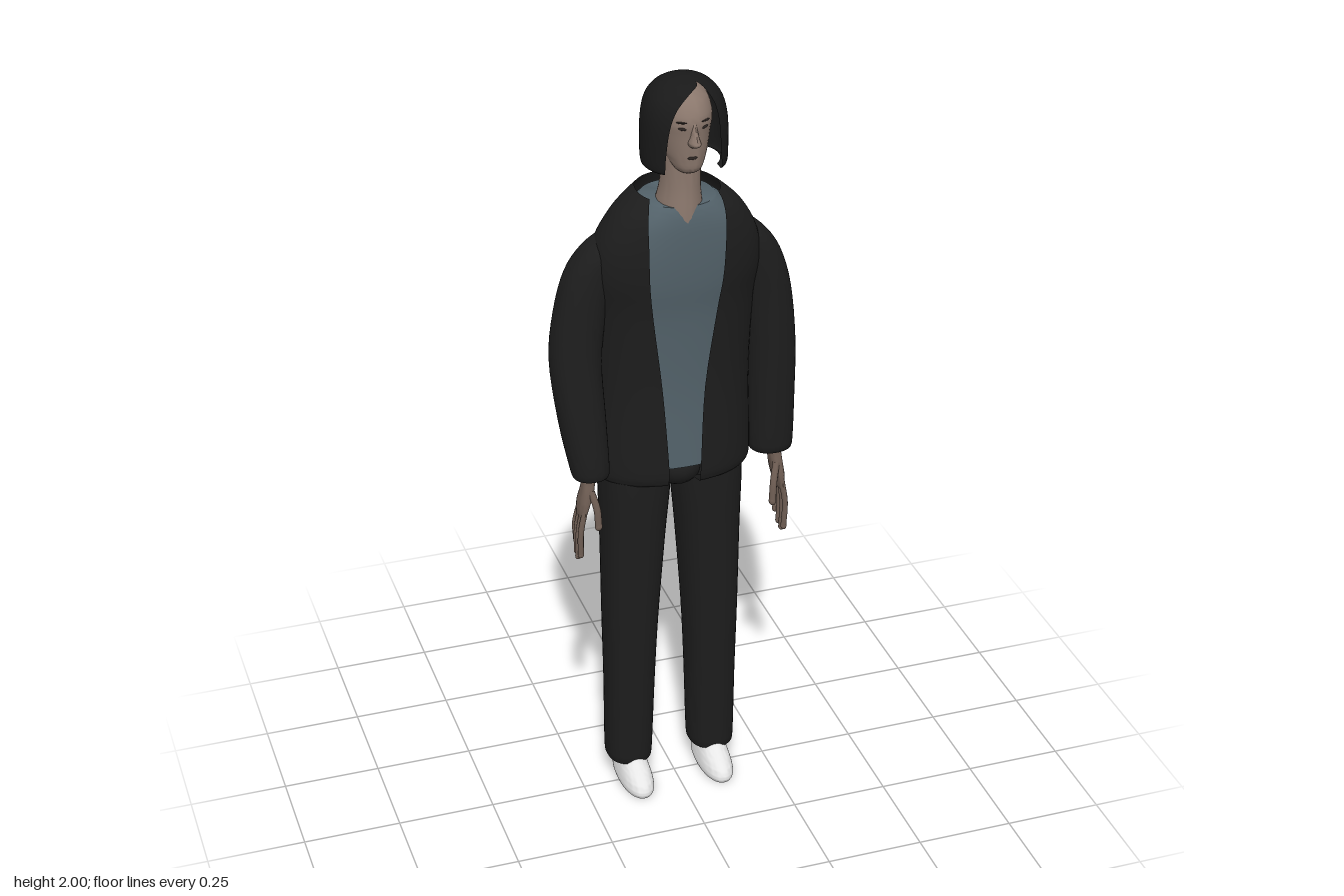
import * as THREE from 'three';
import { toCreasedNormals, mergeVertices } from 'three/addons/utils/BufferGeometryUtils.js';

const mat = (name, color, side = THREE.FrontSide) => {
  const m = new THREE.MeshStandardMaterial({ color, side });
  m.name = name;
  return m;
};

// Smooth interpolation through rows of numbers
function smoothRows(rows, steps) {
  const out = [], at = i => rows[Math.max(0, Math.min(rows.length - 1, i))];
  for (let i = 0; i < rows.length - 1; i++) {
    for (let s = 0; s < steps; s++) {
      const t = s / steps;
      out.push(rows[i].map((p1, k) => {
        const p0 = at(i - 1)[k], p2 = at(i + 1)[k], p3 = at(i + 2)[k];
        return 0.5 * (2 * p1 + (p2 - p0) * t + (2 * p0 - 5 * p1 + 4 * p2 - p3) * t * t + (3 * p1 - p0 - 3 * p2 + p3) * t * t * t);
      }));
    }
  }
  out.push(rows[rows.length - 1].slice());
  return out;
}

// Loft of horizontal rings, bottom to top: [y, centreX, radiusX, zBack, zFront, gapMinX, gapMaxX]
function loft(sections, { n = 2, bottom = true, top = true, sides = 40, steps = 4 } = {}) {
  const rings = smoothRows(sections.map(s => s.length > 5 ? s : [...s, s[1], s[1]]), steps);
  const closeRing = r => [r[0], r[1], 0, (r[3] + r[4]) / 2, (r[3] + r[4]) / 2, r[5], r[6]];
  const like = (r, src) => Object.assign(closeRing(r), { src });
  if (bottom) rings.unshift(like(rings[0], rings[0]));
  if (top) rings.push(like(rings[rings.length - 1], rings[rings.length - 1]));
  const pow = v => Math.sign(v) * Math.abs(v) ** (2 / n);
  const pos = [], index = [];
  for (const r of rings) {
    const [, cx, rx, , , g0, g1] = r.src || r;
    const angle = x => {
      const q = Math.max(-1, Math.min(1, (x - cx) / (rx || 1)));
      return Math.asin(Math.sign(q) * Math.abs(q) ** (n / 2));
    };
    const a = angle(g1), b = Math.PI * 2 + angle(g0);
    for (let j = 0; j <= sides; j++) {
      const t = a + (b - a) * j / sides;
      pos.push(r[1] + r[2] * pow(Math.sin(t)), r[0], (r[3] + r[4]) / 2 + (r[4] - r[3]) / 2 * pow(Math.cos(t)));
    }
  }
  for (let i = 0; i < rings.length - 1; i++) for (let j = 0; j < sides; j++) {
    const a = i * (sides + 1) + j, c = a + sides + 1;
    index.push(a, a + 1, c, a + 1, c + 1, c);
  }
  const g = new THREE.BufferGeometry();
  g.setAttribute('position', new THREE.Float32BufferAttribute(pos, 3));
  g.setIndex(index);
  return toCreasedNormals(mergeVertices(g, 1e-5), 0.9);
}

export function createModel() {
  const model = new THREE.Group();
  const cloth = mat('black cloth', 0x1d1d1d, THREE.DoubleSide);
  const hairMat = mat('black hair', 0x191919, THREE.DoubleSide);
  const shirtMat = mat('grey blue shirt', 0x53626a);
  const skin = mat('skin', 0x8a776c);
  const handSkin = mat('hand skin', 0x6e5d53);
  const white = mat('white shoe', 0xe6e6e6);
  const dark = mat('dark feature', 0x2c2522);
  const add = (name, geo, material, parent = model) => {
    const m = new THREE.Mesh(geo, material);
    m.name = name;
    parent.add(m);
    return m;
  };
  const ball = (name, material, p, s, parent = model) => {
    const m = add(name, new THREE.SphereGeometry(1, 20, 14), material, parent);
    m.position.set(...p);
    m.scale.set(...s);
    return m;
  };

  // Jacket, open down the front
  const jacket = [
    [0.935, 0, 0.195, -0.172, 0.092, -0.045, 0.036],
    [0.95, 0, 0.202, -0.176, 0.1, -0.045, 0.036],
    [1.0, 0, 0.202, -0.173, 0.103, -0.046, 0.037],
    [1.2, 0, 0.197, -0.162, 0.1, -0.06, 0.047],
    [1.4, 0, 0.202, -0.146, 0.112, -0.085, 0.072],
    [1.5, 0, 0.212, -0.13, 0.126, -0.097, 0.084],
    [1.58, 0, 0.2, -0.113, 0.132, -0.1, 0.088],
    [1.65, 0, 0.163, -0.093, 0.132, -0.1, 0.09],
    [1.69, 0, 0.125, -0.08, 0.127, -0.094, 0.087],
    [1.71, 0, 0.1, -0.072, 0.12, -0.086, 0.08],
  ];
  add('jacket', loft(jacket, { n: 2.25, top: false, sides: 56 }), cloth);

  // Shirt, just inside the jacket
  const shirt = jacket.slice(2).map(([y, x, r, b, f]) => [y - 0.018, x, r - 0.012, b + 0.013, f - 0.01]);
  add('shirt', loft(shirt, { n: 2.25, sides: 56 }), shirtMat);

  // Sleeves
  add('leftSleeve', loft([
    [0.95, 0.255, 0.052, -0.052, 0.045],
    [0.97, 0.255, 0.057, -0.056, 0.05],
    [1.1, 0.255, 0.06, -0.068, 0.053],
    [1.25, 0.252, 0.063, -0.077, 0.055],
    [1.4, 0.236, 0.064, -0.08, 0.055],
    [1.5, 0.207, 0.064, -0.077, 0.055],
    [1.56, 0.18, 0.05, -0.065, 0.05],
    [1.6, 0.15, 0.03, -0.04, 0.03],
  ], { n: 2.2 }), cloth);
  add('rightSleeve', loft([
    [0.985, -0.236, 0.042, 0.015, 0.1],
    [1.005, -0.237, 0.048, 0.01, 0.108],
    [1.13, -0.247, 0.058, -0.03, 0.095],
    [1.28, -0.253, 0.063, -0.06, 0.072],
    [1.4, -0.236, 0.064, -0.07, 0.06],
    [1.5, -0.207, 0.064, -0.07, 0.055],
    [1.56, -0.18, 0.05, -0.06, 0.05],
    [1.6, -0.15, 0.03, -0.04, 0.03],
  ], { n: 2.2 }), cloth);

  // Hands: built pointing down from the wrist, thumb to the front
  const makeHand = name => {
    const hand = new THREE.Group();
    hand.name = name;
    add('palm', loft([
      [-0.125, 0.004, 0.009, -0.036, 0.034],
      [-0.09, 0.003, 0.015, -0.04, 0.036],
      [-0.05, 0, 0.017, -0.03, 0.03],
      [-0.015, 0, 0.017, -0.021, 0.021],
      [0.03, 0, 0.019, -0.022, 0.022],
    ], { sides: 20 }), handSkin, hand);
    const finger = (label, pts, r) => {
      const v = pts.map(p => new THREE.Vector3(...p));
      add(label, new THREE.TubeGeometry(new THREE.CatmullRomCurve3(v), 8, r, 8), handSkin, hand);
      ball('fingertip', handSkin, pts[2], [r, r * 1.3, r], hand);
    };
    [-0.215, -0.24, -0.248, -0.235].forEach((tip, i) => {
      const z = -0.029 + i * 0.0185;
      finger('finger', [[0.004, -0.105, z], [0.006, -0.165, z * 1.1], [-0.004, tip, z * 1.05]], 0.0078);
    });
    finger('thumb', [[-0.004, -0.045, 0.022], [-0.022, -0.09, 0.04], [-0.032, -0.14, 0.046]], 0.0095);
    model.add(hand);
    return hand;
  };
  const leftHand = makeHand('leftHand');
  leftHand.position.set(0.264, 0.955, 0);
  leftHand.rotation.z = 0.11;
  const rightHand = makeHand('rightHand');
  rightHand.position.set(-0.237, 0.99, 0.058);
  rightHand.rotation.z = -0.17;
  rightHand.scale.set(-1, 0.93, 0.85);

  // Trousers and shoes
  for (const [side, s] of [['left', 1], ['right', -1]]) {
    const o = s < 0 ? -0.005 : 0;
    add(side + 'TrouserLeg', loft([
      [0.07, s * 0.111 + o, 0.055, -0.1, 0.026],
      [0.085, s * 0.111 + o, 0.06, -0.105, 0.03],
      [0.3, s * 0.108 + o, 0.064, -0.108, 0.04],
      [0.5, s * 0.105 + o, 0.07, -0.113, 0.05],
      [0.75, s * 0.097 + o, 0.08, -0.122, 0.062],
      [0.9, s * 0.092 + o, 0.088, -0.128, 0.07],
      [1.0, s * 0.09 + o, 0.088, -0.13, 0.072],
    ], { n: 2.4 }), cloth);
    add(side + 'Shoe', loft([
      [0, s * 0.108 + o, 0.041, -0.108, 0.1],
      [0.012, s * 0.108 + o, 0.044, -0.113, 0.106],
      [0.03, s * 0.108 + o, 0.042, -0.11, 0.098],
      [0.05, s * 0.108 + o, 0.038, -0.105, 0.07],
      [0.07, s * 0.108 + o, 0.035, -0.103, 0.035],
      [0.1, s * 0.108 + o, 0.033, -0.1, 0.015],
    ], { n: 2.2 }), white);
  }
  ball('trouserSeat', cloth, [0, 0.96, -0.02], [0.075, 0.065, 0.108]);

  // Neck and head
  add('neck', loft([
    [1.64, -0.005, 0.058, -0.03, 0.121],
    [1.68, -0.005, 0.055, -0.022, 0.118],
    [1.74, -0.003, 0.047, -0.004, 0.113],
    [1.84, 0, 0.046, 0, 0.112],
  ]), skin);
  add('head', loft([
    [1.783, 0, 0.022, 0.07, 0.125],
    [1.795, 0, 0.034, 0.05, 0.14],
    [1.83, 0, 0.051, 0, 0.145],
    [1.88, 0, 0.062, -0.03, 0.149],
    [1.92, 0, 0.067, -0.035, 0.151],
    [1.96, 0, 0.056, -0.02, 0.128],
    [1.982, 0, 0.03, 0.01, 0.09],
  ]), skin);

  // Face
  add('nose', loft([
    [1.858, 0, 0.011, 0.12, 0.158],
    [1.868, 0, 0.015, 0.12, 0.174],
    [1.885, 0, 0.01, 0.12, 0.167],
    [1.92, 0, 0.006, 0.12, 0.15],
  ], { sides: 16 }), skin);
  for (const s of [-1, 1]) {
    const eye = ball('eye', dark, [s * 0.026, 1.903, 0.142], [0.011, 0.004, 0.004]);
    const brow = ball('eyebrow', dark, [s * 0.028, 1.918, 0.141], [0.014, 0.0025, 0.004]);
    eye.rotation.y = brow.rotation.y = s * 0.45;
  }
  ball('mouth', dark, [-0.003, 1.829, 0.144], [0.012, 0.004, 0.003]);

  // Bobbed hair with an off-centre parting
  add('hair', loft([
    [1.79, 0.005, 0.088, -0.035, 0.13, -0.062, 0.07],
    [1.788, 0.006, 0.1, -0.045, 0.152, -0.064, 0.074],
    [1.83, 0.006, 0.103, -0.049, 0.155, -0.063, 0.07],
    [1.9, 0.006, 0.101, -0.049, 0.154, -0.055, 0.065],
    [1.945, 0.006, 0.091, -0.042, 0.141, -0.036, 0.058],
    [1.972, 0.006, 0.072, -0.025, 0.118, -0.004, 0.045],
    [1.988, 0.006, 0.05, -0.002, 0.094, 0.026, 0.03],
    [1.997, 0.006, 0.024, 0.022, 0.07, 0.006, 0.006],
    [2.0, 0.006, 0.004, 0.044, 0.05, 0.006, 0.006],
  ], { n: 2.1, bottom: false, sides: 48 }), hairMat);

  return model;
}
